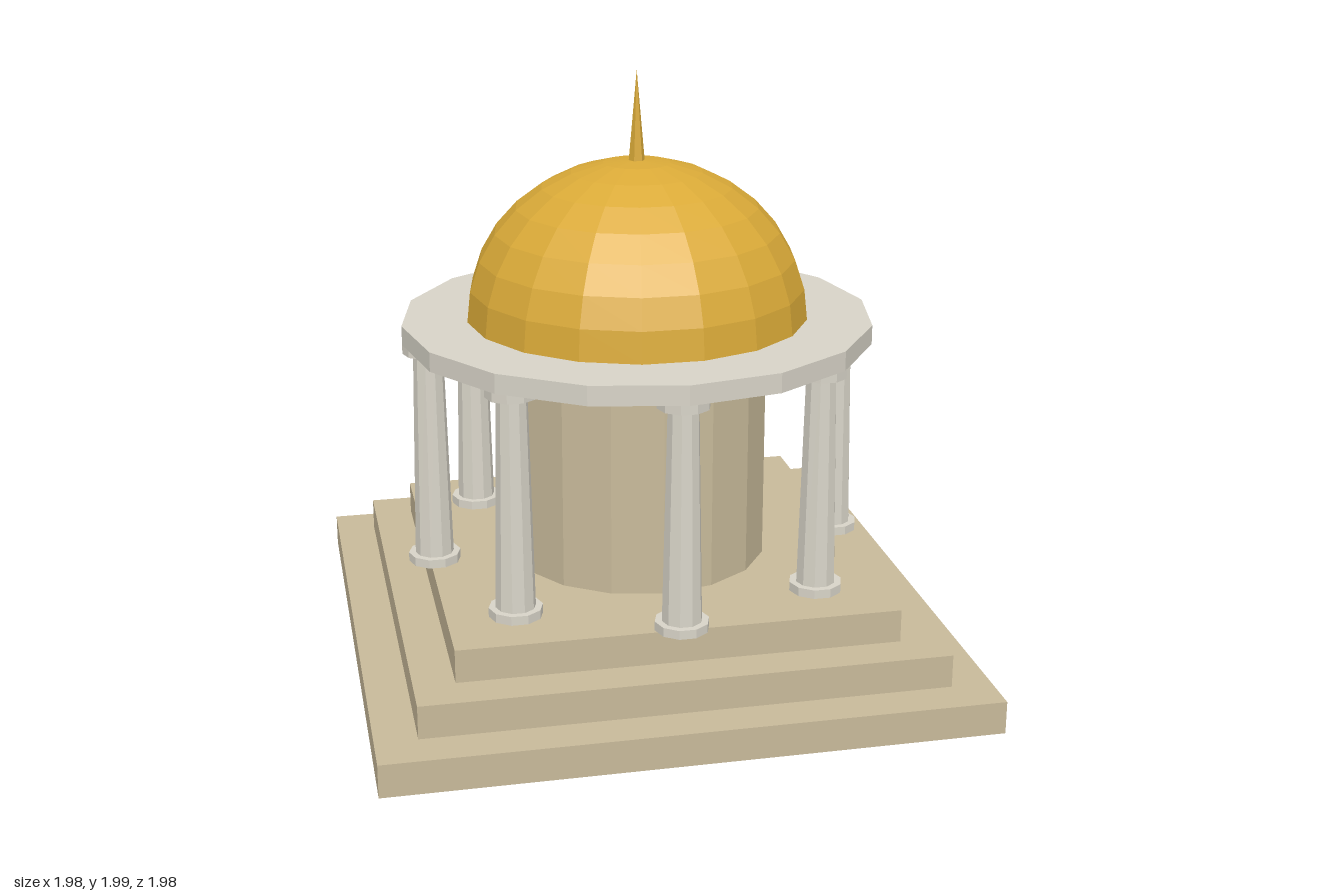
import * as THREE from 'three';

const flat = (name, color) => {
  const m = new THREE.MeshStandardMaterial({ color, flatShading: true });
  m.name = name;
  return m;
};

export function createModel() {
  const stone = flat('sandstone', 0xc8ba9a);
  const marble = flat('marble', 0xd8d4c8);
  const gold = flat('gold', 0xdaaa38);

  const model = new THREE.Group();
  model.name = 'domedTemple';

  const add = (parent, name, geometry, material, y = 0) => {
    const mesh = new THREE.Mesh(geometry, material);
    mesh.name = name;
    mesh.position.y = y;
    parent.add(mesh);
    return mesh;
  };

  // Upright round part between two heights, with a corner on the x axis
  const drum = (rTop, rBottom, y0, y1, sides) =>
    new THREE.CylinderGeometry(rTop, rBottom, y1 - y0, sides)
      .rotateY(Math.PI / 2)
      .translate(0, (y0 + y1) / 2, 0);

  // Three square steps
  [1.98, 1.71, 1.445].forEach((width, i) => {
    add(model, `step${i + 1}`, new THREE.BoxGeometry(width, 0.11, width), stone, 0.055 + i * 0.11);
  });

  // Inner round chamber
  add(model, 'chamber', drum(0.44, 0.44, 0.33, 0.99, 16), stone);

  // Eight tapered columns in a circle
  const base = drum(0.088, 0.088, 0.33, 0.36, 10);
  const shaft = drum(0.05, 0.065, 0.36, 1.07, 10);
  const capital = drum(0.085, 0.085, 1.07, 1.1, 10);
  for (let i = 0; i < 8; i++) {
    const angle = (i * Math.PI) / 4;
    const column = new THREE.Group();
    column.name = `column${i + 1}`;
    column.position.set(0.705 * Math.cos(angle), 0, 0.705 * Math.sin(angle));
    add(column, 'columnBase', base, marble);
    add(column, 'columnShaft', shaft, marble);
    add(column, 'columnCapital', capital, marble);
    model.add(column);
  }

  // Roof slab carried by the columns
  add(model, 'roofSlab', drum(0.79, 0.79, 1.1, 1.165, 16), marble);

  // Slightly flattened dome
  const domeGeometry = new THREE.SphereGeometry(0.572, 18, 8, 0, Math.PI * 2, 0, Math.PI / 2);
  domeGeometry.scale(1, 0.525 / 0.572, 1);
  add(model, 'dome', domeGeometry, gold, 1.165);

  // Spire
  const spire = new THREE.ConeGeometry(0.027, 0.3, 6).rotateY(Math.PI / 2);
  add(model, 'spire', spire, gold, 1.835);

  return model;
}
